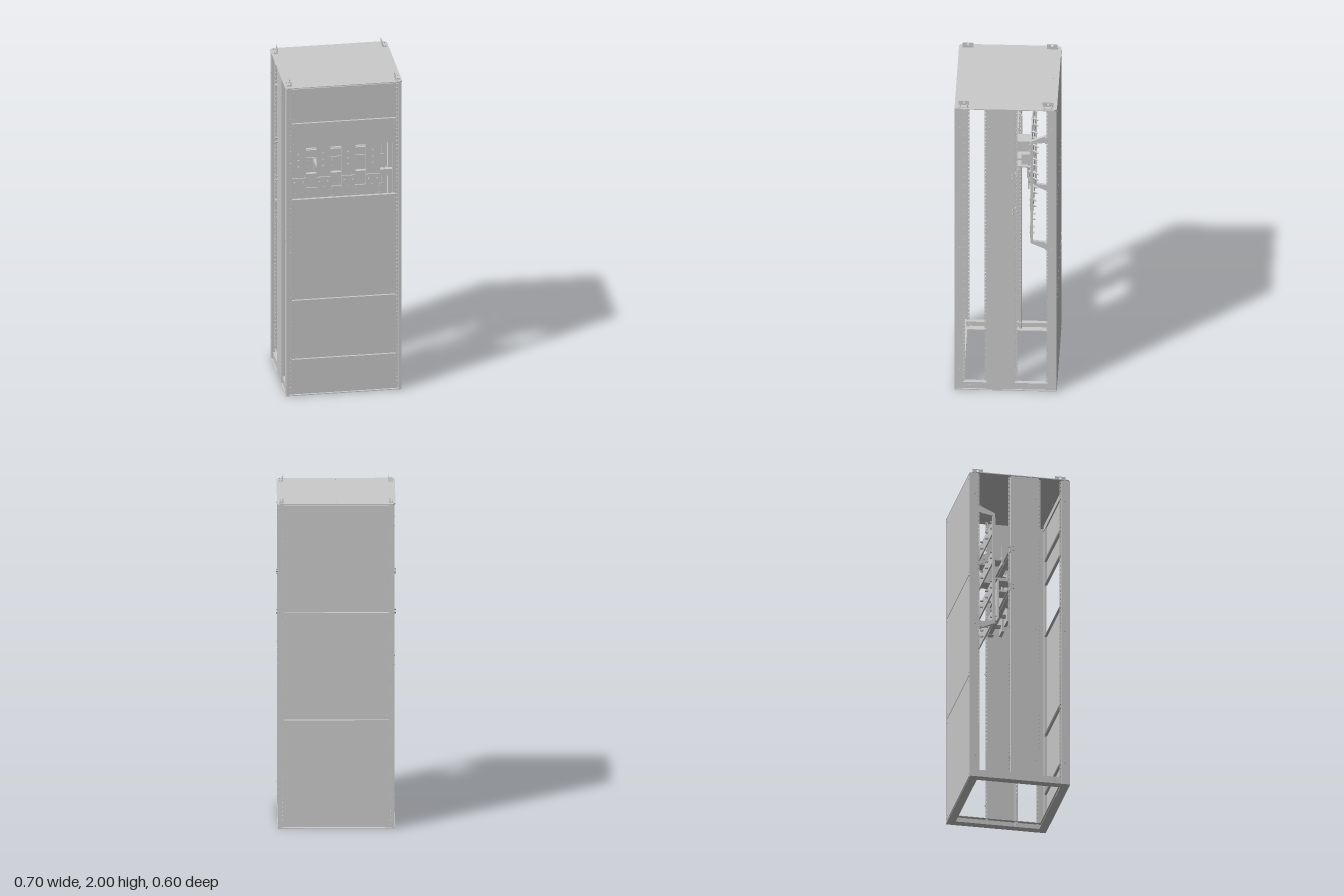
import * as THREE from 'three';

const mat = new THREE.MeshStandardMaterial({ color: 0xcccccc, flatShading: true, side: THREE.DoubleSide });
const T = 0.003; // sheet thickness

function add(parent, name, geo, x = 0, y = 0, z = 0) {
  const m = new THREE.Mesh(geo, mat);
  m.name = name;
  m.position.set(x, y, z);
  parent.add(m);
  return m;
}

// Box given by its limits on each axis
function box(parent, name, x0, x1, y0, y1, z0, z1) {
  return add(parent, name, new THREE.BoxGeometry(Math.abs(x1 - x0), Math.abs(y1 - y0), Math.abs(z1 - z0)),
    (x0 + x1) / 2, (y0 + y1) / 2, (z0 + z1) / 2);
}

function group(parent, name) {
  const g = new THREE.Group();
  g.name = name;
  parent.add(g);
  return g;
}

// Bolt with its axis along x, y or z
function bolt(parent, x, y, z, axis = 'z', r = 0.006, len = 0.012) {
  const geo = new THREE.CylinderGeometry(r, r, len, 6);
  if (axis === 'z') geo.rotateX(Math.PI / 2);
  if (axis === 'x') geo.rotateZ(Math.PI / 2);
  return add(parent, 'bolt', geo, x, y, z);
}

// Plate in the xy plane, centred, with small round holes at the given points
function plate(w, h, holes, r, t = T) {
  const s = new THREE.Shape();
  s.moveTo(-w / 2, -h / 2).lineTo(w / 2, -h / 2).lineTo(w / 2, h / 2).lineTo(-w / 2, h / 2).closePath();
  for (const [x, y] of holes) s.holes.push(new THREE.Path().absarc(x, y, r, 0, Math.PI * 2, true));
  return new THREE.ExtrudeGeometry(s, { depth: t, bevelEnabled: false, curveSegments: 3 }).translate(0, 0, -t / 2);
}

// Long strip with a row of holes, as used on posts and side channels
function perforated(w, h) {
  const holes = [];
  for (let y = -h / 2 + 0.02; y < h / 2 - 0.01; y += 0.026) holes.push([0, y]);
  return plate(w, h, holes, 0.0035);
}

const Y0 = 0.005, Y1 = 1.962, YM = (Y0 + Y1) / 2, H = Y1 - Y0;

function cornerPosts(root) {
  const strip = perforated(0.02, H);
  const sideStrip = perforated(0.012, H).rotateY(Math.PI / 2);
  for (const sx of [1, -1]) for (const sz of [1, -1]) {
    const g = group(root, 'cornerPost');
    box(g, 'postSide', sx * 0.342, sx * (0.342 - T), Y0, Y1, sz * 0.25, sz * 0.299);
    box(g, 'postFace', sx * 0.325, sx * 0.342, Y0, Y1, sz * 0.299, sz * (0.299 - T));
    box(g, 'postStep', sx * 0.325, sx * (0.325 + T), Y0, Y1, sz * 0.299, sz * 0.282);
    add(g, 'postHoleStrip', strip, sx * 0.316, YM, sz * 0.284);
    box(g, 'postReturn', sx * 0.342, sx * 0.325, Y0, Y1, sz * 0.25, sz * (0.25 + T));
    add(g, 'postSideStrip', sideStrip, sx * 0.326, YM, sz * 0.245);
    for (const y of [0.14, 0.99, 1.83]) bolt(g, sx * 0.342, y, sz * 0.268, 'x', 0.005, 0.006);
  }
}

function sideChannels(root) {
  const strip = perforated(0.014, H).rotateY(Math.PI / 2);
  for (const s of [1, -1]) {
    const g = group(root, 'sideChannel');
    box(g, 'channelWeb', s * 0.342, s * (0.342 - T), Y0, Y1, -0.053, 0.112);
    for (const [zi, zo] of [[0.112, 0.119], [-0.053, -0.061]]) {
      box(g, 'channelFlange', s * 0.342, s * 0.315, Y0, Y1, zi - T / 2, zi + T / 2);
      add(g, 'channelHoleStrip', strip, s * 0.317, YM, zo);
    }
    for (const y of [0.14, 0.99, 1.83]) for (const z of [0.098, -0.062])
      bolt(g, s * 0.341, y, z, 'x', 0.006, 0.006);
    for (const y of [1.25, 1.5]) bolt(g, s * 0.346, y, -0.065, 'x', 0.005, 0.01);
  }
}

// Row of cover panels; s is +1 for the front and -1 for the back
function panels(root, name, s, ranges) {
  for (const [a, b] of ranges) {
    const g = group(root, name);
    const y0 = a + 0.003, y1 = b - 0.003, X = 0.307, z = s * 0.3;
    box(g, 'panelSheet', -X, X, y0, y1, z, z - s * T);
    for (const y of [y0, y1 - T]) box(g, 'panelFold', -X, X, y, y + T, z, z - s * 0.018);
    for (const x of [-X, X - T]) box(g, 'panelSideFold', x, x + T, y0, y1, z, z - s * 0.016);
    for (const x of [-0.298, 0.298]) for (const y of [y0 + 0.025, y1 - 0.025])
      bolt(g, x, y, z, 'z', 0.004, 0.004);
  }
}

function roof(root) {
  const X = 0.347, Z = 0.3, c = 0.016;
  const s = new THREE.Shape();
  s.moveTo(-X + c, -Z).lineTo(X - c, -Z).lineTo(X, -Z + c).lineTo(X, Z - c);
  s.lineTo(X - c, Z).lineTo(-X + c, Z).lineTo(-X, Z - c).lineTo(-X, -Z + c).closePath();
  for (const y of [-0.267, 0.267]) s.holes.push(new THREE.Path().absarc(0, y, 0.003, 0, Math.PI * 2, true));
  const geo = new THREE.ExtrudeGeometry(s, { depth: 0.005, bevelEnabled: false, curveSegments: 6 });
  add(root, 'roof', geo.rotateX(-Math.PI / 2), 0, 1.962, 0);

  // Angle lugs at the roof corners
  const lug = plate(0.064, 0.033, [[0, 0.005]], 0.008).rotateY(Math.PI / 2);
  for (const sx of [1, -1]) for (const sz of [1, -1]) {
    const g = group(root, 'liftingLug');
    box(g, 'lugFoot', sx * 0.31, sx * 0.335, 1.967, 1.971, sz * 0.215, sz * 0.279);
    add(g, 'lugPlate', lug, sx * 0.311, 1.9835, sz * 0.247);
    for (const x of [0.317, 0.329]) for (const z of [0.226, 0.268])
      bolt(g, sx * x, 1.973, sz * z, 'y', 0.004, 0.007);
  }
}

// Open rectangular frame of angle sections, without a floor
function baseFrame(root) {
  const g = group(root, 'baseFrame');
  for (const s of [1, -1]) {
    box(g, 'sideRail', s * 0.335, s * (0.335 - T), 0, 0.048, -0.285, 0.285);
    box(g, 'sideRailFoot', s * 0.345, s * 0.295, 0, 0.005, -0.299, 0.299);
    box(g, 'sideRailLip', s * 0.335, s * 0.31, 0.045, 0.048, -0.285, 0.285);
    box(g, 'crossRail', -0.33, 0.33, 0, 0.048, s * 0.28, s * (0.28 - T));
    box(g, 'crossRailFoot', -0.297, 0.297, 0, 0.005, s * 0.299, s * 0.25);
    box(g, 'crossRailLip', -0.33, 0.33, 0.045, 0.048, s * 0.28, s * 0.258);
    for (let i = -3; i <= 3; i++) bolt(g, s * 0.335, 0.028, i * 0.07, 'x', 0.005, 0.006);
    box(g, 'topRail', -0.31, 0.31, 1.93, 1.962, s * 0.28, s * (0.28 - T));
  }
}

const LEVELS = [1.09, 1.28, 1.47, 1.66];

// Horizontal bars on two bent supports fixed to the rear posts
function rearBusbars(root) {
  const g = group(root, 'rearBusbars');
  const s = new THREE.Shape();
  s.moveTo(-0.235, 0.975).lineTo(-0.145, 1.015).lineTo(-0.145, 1.725).lineTo(-0.235, 1.765);
  s.lineTo(-0.235, 1.72).lineTo(-0.158, 1.708).lineTo(-0.158, 1.03).lineTo(-0.235, 1.02).closePath();
  const geo = new THREE.ExtrudeGeometry(s, { depth: 0.018, bevelEnabled: false }).translate(0, 0, -0.009);
  geo.rotateY(-Math.PI / 2);
  for (const sx of [1, -1]) {
    add(g, 'barSupport', geo, sx * 0.305, 0, 0);
    for (const y of [1.0, 1.74]) box(g, 'supportFoot', sx * 0.295, sx * 0.325, y - 0.022, y + 0.022, -0.229, -0.25);
  }
  for (const y of LEVELS) {
    box(g, 'horizontalBar', -0.31, 0.31, y - 0.04, y + 0.04, -0.141, -0.149);
    for (const x of [-0.28, -0.14, 0, 0.14, 0.28]) for (const d of [-0.02, 0.02])
      bolt(g, x, y + d, -0.152, 'z', 0.007, 0.03);
  }
}

// Vertical bars in the window, each linked back to one level of the rear bars
function frontBusbars(root) {
  const g = group(root, 'verticalBusbars');
  for (const y of [1.25, 1.495]) {
    box(g, 'mountingRail', -0.335, 0.335, y - 0.017, y + 0.017, -0.03, -0.034);
    for (const d of [-0.017, 0.014]) box(g, 'railLip', -0.335, 0.335, y + d, y + d + T, -0.034, -0.055);
    for (const s of [1, -1]) {
      box(g, 'railEnd', s * 0.3, s * 0.338, y - 0.02, y + 0.02, -0.02, -0.06);
      for (const d of [-0.012, 0.012]) bolt(g, s * 0.343, y + d, -0.04, 'x', 0.005, 0.016);
    }
  }
  [-0.222, -0.075, 0.072, 0.218].forEach((x, i) => {
    const top = i === 3 ? 1.69 : 1.51, w = 0.042, y = LEVELS[i];
    box(g, 'verticalBar', x - w, x + w, 1.2, top, 0.0, 0.008);
    for (const yy of [1.33, 1.37, 1.41]) bolt(g, x, yy, 0.01, 'z', 0.008, 0.014);
    for (const dx of [-0.02, 0.02]) bolt(g, x + dx, 1.495, 0.01, 'z', 0.006, 0.014);
    for (const yy of [1.25, 1.495]) {
      const ins = add(g, 'insulator', new THREE.CylinderGeometry(0.018, 0.018, 0.03, 8), x, yy, -0.015);
      ins.rotation.x = Math.PI / 2;
    }
    // Connector plate bolted to the foot of the bar
    box(g, 'footPlate', x - w, x + w, 1.2, 1.262, 0.008, 0.016);
    for (const dx of [-0.025, 0.025]) bolt(g, x + dx, 1.235, 0.02, 'z', 0.006, 0.012);
    // Link to the rear bar
    const ly = Math.max(y, 1.32);
    box(g, 'linkBar', x - w, x + w, ly - 0.005, ly + 0.005, 0.0, -0.115);
    box(g, 'linkDrop', x - w, x + w, i === 0 ? 1.07 : y - 0.035, Math.max(ly + 0.005, y + 0.03), -0.11, -0.118);
    for (const dy of [-0.015, 0.015]) bolt(g, x, y + dy, -0.125, 'z', 0.008, 0.035);
  });
  // Blocks behind the bars
  box(g, 'linkBlock', 0.18, 0.26, 1.62, 1.69, -0.06, -0.141);
  box(g, 'clampBlock', 0.03, 0.115, 1.435, 1.505, -0.085, -0.141);
  box(g, 'riser', -0.202, -0.18, 1.45, 1.58, -0.07, -0.078);
}

export function createModel() {
  const root = new THREE.Group();
  root.name = 'switchgearCabinet';
  baseFrame(root);
  cornerPosts(root);
  sideChannels(root);
  panels(root, 'frontPanel', 1, [[0.008, 0.235], [0.235, 0.612], [0.612, 1.255], [1.58, 1.74], [1.74, 1.962]]);
  panels(root, 'backPanel', -1, [[0.008, 0.66], [0.66, 1.31], [1.31, 1.962]]);
  roof(root);
  rearBusbars(root);
  frontBusbars(root);
  return root;
}
